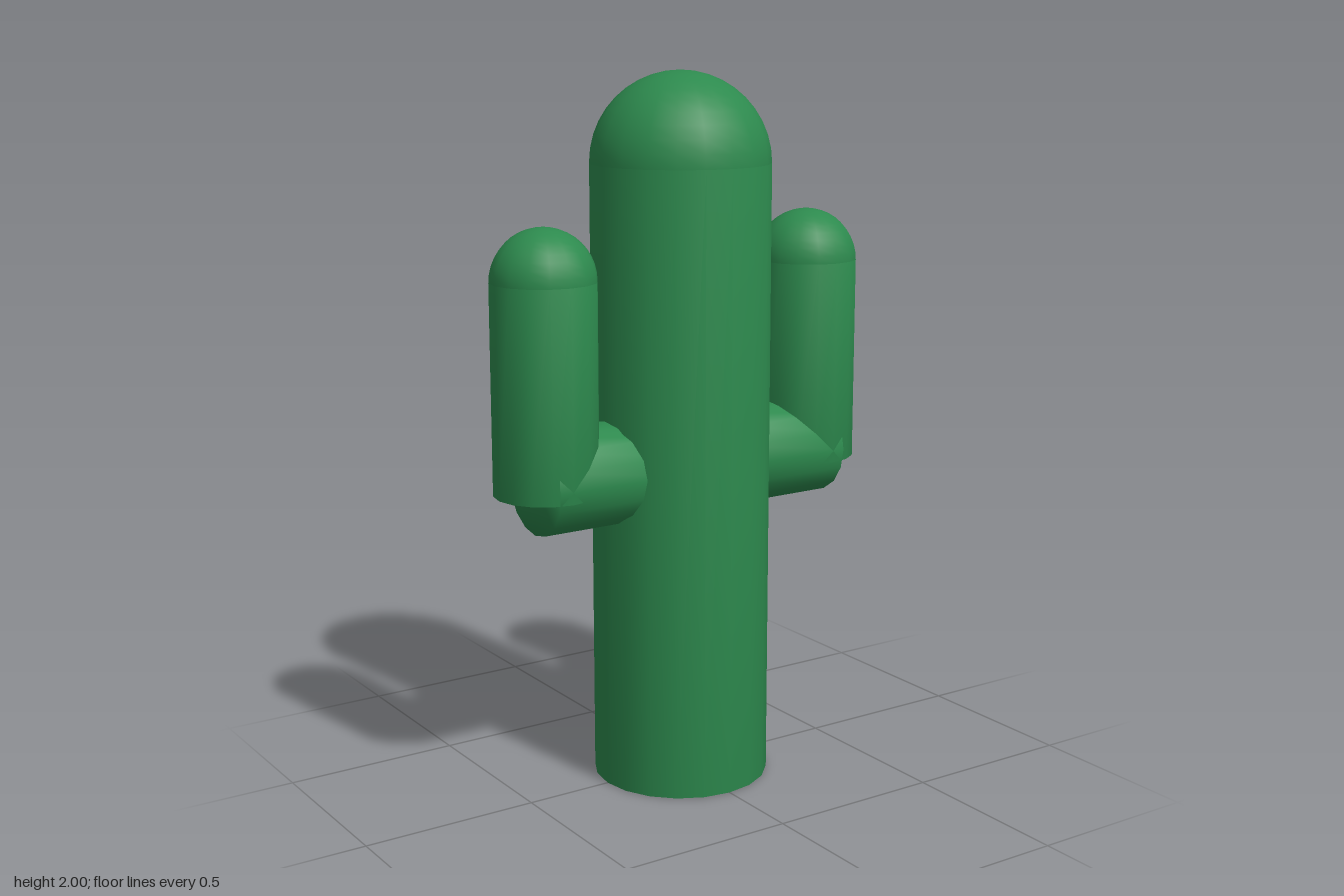
import * as THREE from 'three';
import { mergeVertices } from 'three/addons/utils/BufferGeometryUtils.js';

const green = new THREE.MeshStandardMaterial({ color: 0x2d8a4e });
green.name = 'cactus green';

// Closed cylinder whose shading flows over the rims
function softCylinder(radius, length, sides) {
  const geometry = new THREE.CylinderGeometry(radius, radius, length, sides);
  geometry.deleteAttribute('uv');
  geometry.deleteAttribute('normal');
  const merged = mergeVertices(geometry);
  merged.computeVertexNormals();
  return merged;
}

function addPart(parent, name, geometry, x, y) {
  const mesh = new THREE.Mesh(geometry, green);
  mesh.name = name;
  mesh.position.set(x, y, 0);
  parent.add(mesh);
  return mesh;
}

// Upright column with a half-sphere on top
function addColumn(parent, name, radius, x, bottom, top, sides) {
  addPart(parent, name, softCylinder(radius, top - bottom, sides), x, (bottom + top) / 2);
  const dome = new THREE.SphereGeometry(radius, sides, 10, 0, Math.PI * 2, 0, Math.PI / 2);
  addPart(parent, name + 'Dome', dome, x, top);
}

export function createModel() {
  const cactus = new THREE.Group();
  cactus.name = 'cactus';

  addColumn(cactus, 'trunk', 0.25, 0, 0, 1.75, 20);

  // Two mirrored arms: a level stub and an upright column
  for (const [name, side] of [['leftArm', 1], ['rightArm', -1]]) {
    const arm = new THREE.Group();
    arm.name = name;
    const stub = addPart(arm, name + 'Stub', softCylinder(0.145, 0.37, 16), side * 0.287, 0.913);
    stub.rotation.z = Math.PI / 2;
    addColumn(arm, name + 'Column', 0.145, side * 0.435, 0.88, 1.457, 16);
    cactus.add(arm);
  }
  return cactus;
}
